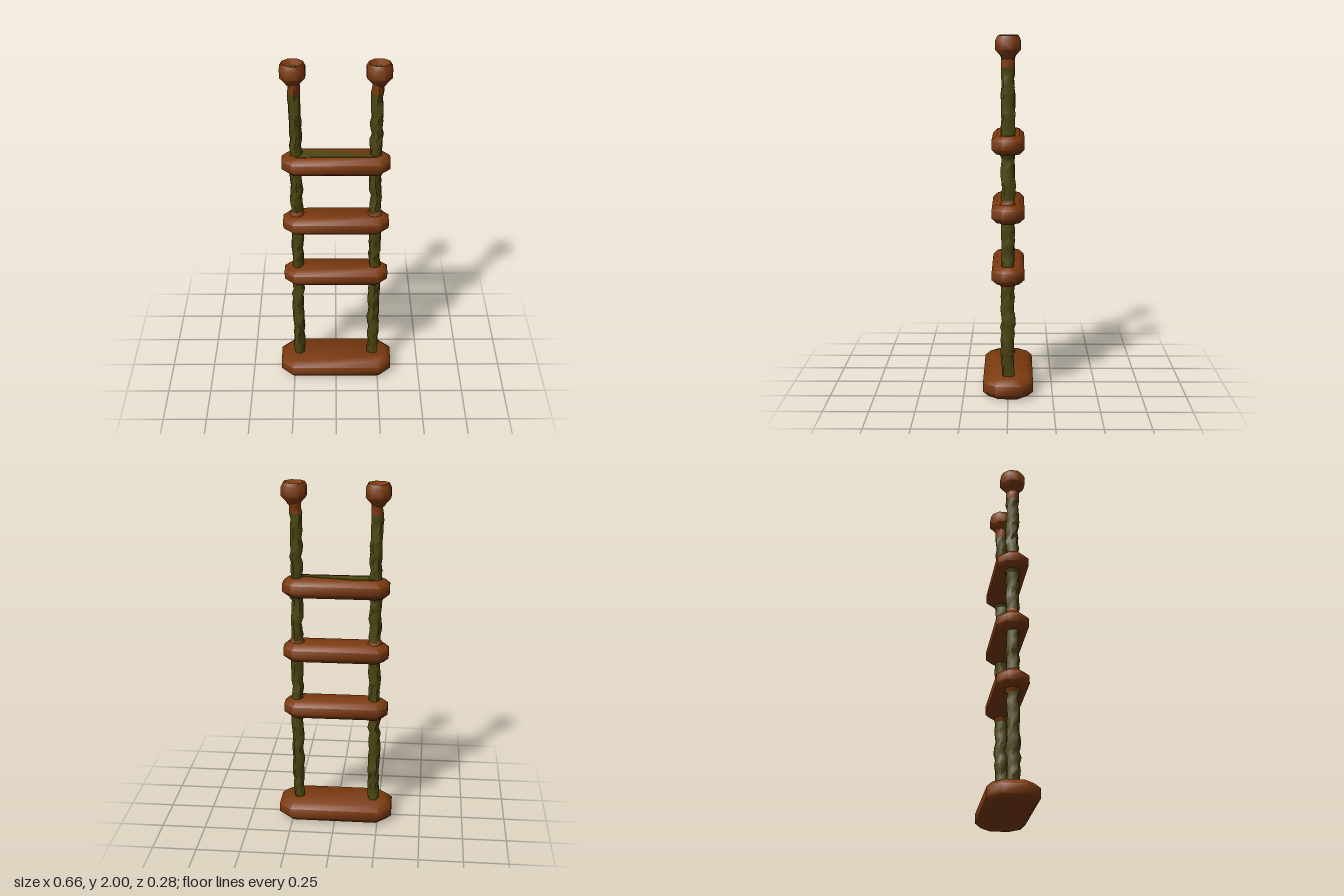
import * as THREE from 'three';
import { toCreasedNormals } from 'three/addons/utils/BufferGeometryUtils.js';

const wood = new THREE.MeshStandardMaterial({ color: 0x7c3a0f });
wood.name = 'brown wood';
const moss = new THREE.MeshStandardMaterial({ color: 0x4b4611 });
moss.name = 'mossy rope';

// Skins rings of points (bottom to top, each ring running from +z towards +x).
function loft(rings, crease, capped) {
  const n = rings[0].length;
  const pos = rings.flat().flatMap((p) => [p.x, p.y, p.z]);
  const index = [];
  for (let r = 0; r < rings.length - 1; r++) {
    for (let i = 0; i < n; i++) {
      const a = r * n + i, b = r * n + (i + 1) % n;
      index.push(a, b, b + n, a, b + n, a + n);
    }
  }
  if (capped) {
    const top = (rings.length - 1) * n;
    for (let i = 1; i < n - 1; i++) {
      index.push(0, i + 1, i);
      index.push(top, top + i, top + i + 1);
    }
  }
  const geo = new THREE.BufferGeometry();
  geo.setAttribute('position', new THREE.Float32BufferAttribute(pos, 3));
  geo.setIndex(index);
  return toCreasedNormals(geo, crease);
}

function add(parent, geo, mat, name) {
  const mesh = new THREE.Mesh(geo, mat);
  mesh.name = name;
  parent.add(mesh);
  return mesh;
}

// Plank with clipped corners and bevelled upper and lower edges.
function plank(hx, hz, y0, y1, cut, bevel) {
  const ring = (y, inset) => {
    const x = hx - inset, z = hz - inset, c = cut - inset * 0.4;
    return [
      [-x + c, z], [x - c, z], [x, z - c], [x, -z + c],
      [x - c, -z], [-x + c, -z], [-x, -z + c], [-x, z - c],
    ].map(([px, pz]) => new THREE.Vector3(px, y, pz));
  };
  return loft([ring(y0, bevel), ring(y0 + bevel, 0), ring(y1 - bevel, 0), ring(y1, bevel)], 0.9, true);
}

// Repeatable wobble between -1 and 1.
function noise(a, b) {
  const s = Math.sin(a * 12.9898 + b * 78.233) * 43758.5453;
  return (s - Math.floor(s)) * 2 - 1;
}

const POST_X = 0.222, STEP = 0.035, START = 0.08;

// Uneven seven-sided rope between two ring numbers.
function rope(side, from, to) {
  const rings = [];
  for (let k = from; k <= to; k++) {
    const seed = k + side * 100;
    const cx = side * POST_X + noise(seed, 1) * 0.005;
    const cz = noise(seed, 2) * 0.004;
    const ring = [];
    for (let i = 0; i < 7; i++) {
      const a = i / 7 * Math.PI * 2 + noise(seed, 3) * 0.15;
      const r = 0.034 + noise(seed, 10 + i) * 0.004;
      ring.push(new THREE.Vector3(cx + Math.sin(a) * r, START + k * STEP, cz + Math.cos(a) * r * 1.12));
    }
    rings.push(ring);
  }
  return loft(rings, 1.0, false);
}

export function createModel() {
  const model = new THREE.Group();
  model.name = 'rope ladder';

  // Base and three rungs
  add(model, plank(0.33, 0.14, 0, 0.113, 0.07, 0.03), wood, 'base');
  [0.692, 1.037, 1.415].forEach((y, i) => {
    add(model, plank(0.298, 0.09, y - 0.053, y + 0.05, 0.055, 0.028), wood, 'rung' + (i + 1));
  });

  // Moss streak lying on the top rung
  const streak = new THREE.Shape([
    new THREE.Vector2(-0.22, -0.045), new THREE.Vector2(0.22, -0.042),
    new THREE.Vector2(0.22, -0.02), new THREE.Vector2(-0.1, 0.035), new THREE.Vector2(-0.22, 0.035),
  ]);
  const streakGeo = new THREE.ExtrudeGeometry(streak, { depth: 0.004, bevelEnabled: false });
  add(model, streakGeo.rotateX(-Math.PI / 2).translate(0, 1.464, 0), moss, 'mossStreak');

  // Knot profile with a dished top
  const knotProfile = [
    [0.034, 1.875], [0.045, 1.893], [0.074, 1.925], [0.074, 1.975], [0.06, 2], [0.048, 1.995], [0, 1.96],
  ].map(([r, y]) => new THREE.Vector2(r, y));

  for (const side of [-1, 1]) {
    const post = new THREE.Group();
    post.name = side < 0 ? 'rightRope' : 'leftRope';
    // Rope spans, worn to bare wood below the knot
    add(post, rope(side, 0, 50), moss, 'ropeLength');
    add(post, rope(side, 50, 52), wood, 'wornRopeEnd');
    // Small flared collars where the rope meets each rung
    for (const y of [0.63, 1.355, 1.095]) {
      const flip = y === 1.095 ? -1 : 1;
      const collar = new THREE.CylinderGeometry(flip > 0 ? 0.047 : 0.036, flip > 0 ? 0.036 : 0.047, 0.03, 7, 1, true);
      add(post, toCreasedNormals(collar, 1).translate(side * POST_X, y, 0), y > 1.3 ? moss : wood, 'collar');
    }
    // End knot and the rope tip showing inside it
    const knot = new THREE.LatheGeometry(knotProfile, 8).rotateY(Math.PI / 8);
    add(post, toCreasedNormals(knot, 0.9).translate(side * 0.229, 0, 0), wood, 'knot');
    const tip = new THREE.CylinderGeometry(0.018, 0.026, 0.02, 5);
    add(post, tip.translate(side * 0.225, 1.972, 0), moss, 'ropeTip');
    model.add(post);
  }
  return model;
}
